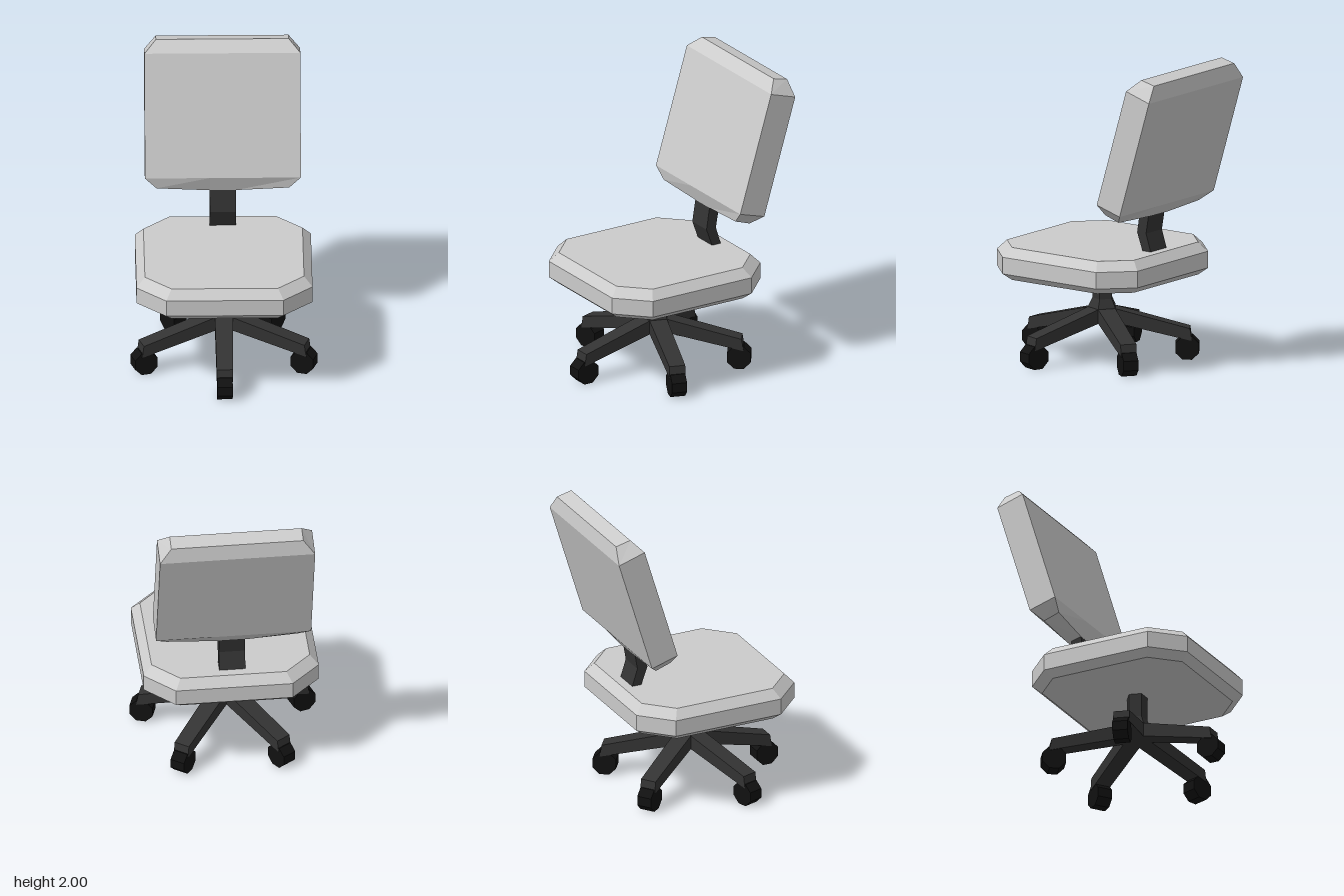
import * as THREE from 'three';

const fabric = new THREE.MeshStandardMaterial({ color: 0xcccccc, flatShading: true });
const plastic = new THREE.MeshStandardMaterial({ color: 0x333333, flatShading: true });
const rubber = new THREE.MeshStandardMaterial({ color: 0x111111, flatShading: true });

// Closed solid from stacked loops of [x, y, z], bottom to top, counter-clockwise from above
function loft(loops) {
  const pos = [];
  const quad = (a, b, c, d) => pos.push(...a, ...b, ...c, ...a, ...c, ...d);
  const n = loops[0].length;
  for (let k = 0; k < loops.length - 1; k++) {
    const lo = loops[k], hi = loops[k + 1];
    for (let i = 0; i < n; i++) {
      const j = (i + 1) % n;
      quad(lo[i], lo[j], hi[j], hi[i]);
    }
  }
  const bottom = loops[0], top = loops[loops.length - 1];
  for (let i = 0; i < Math.floor(n / 2); i++) {
    const p = n - 1 - i, q = Math.max(n - 2 - i, i + 1);
    quad(top[i], top[i + 1], top[q], top[p]);
    quad(bottom[p], bottom[q], bottom[i + 1], bottom[i]);
  }
  const geometry = new THREE.BufferGeometry();
  geometry.setAttribute('position', new THREE.Float32BufferAttribute(pos, 3));
  geometry.computeVertexNormals();
  return geometry;
}

function part(name, geometry, material) {
  const mesh = new THREE.Mesh(geometry, material);
  mesh.name = name;
  return mesh;
}

// Octagonal cushion outline: half size h, flat-edge half length f
const octagon = (y, h, f) =>
  [[-f, h], [f, h], [h, f], [h, -f], [f, -h], [-f, -h], [-h, -f], [-h, f]].map(([x, z]) => [x, y, z]);

// Pentagon with a flat face toward +z, one face per leg
const pentagon = (y, r) => Array.from({ length: 5 }, (_, i) => {
  const a = (i * 2 - 1) * Math.PI / 5;
  return [r * Math.sin(a), y, r * Math.cos(a)];
});

// Backrest section: [z, y] of front and back at the sides (w) and in the middle (m)
function backLoop(w, front, back, midFront = front, midBack = back) {
  const m = 0.085, at = (x, [z, y]) => [x, y, z];
  return [at(-w, front), at(-m, midFront), at(m, midFront), at(w, front),
    at(w, back), at(m, midBack), at(-m, midBack), at(-w, back)];
}

export function createModel() {
  const chair = new THREE.Group();
  chair.name = 'officeChair';

  // Seat cushion with bevelled rims
  const seat = part('seat', loft([
    octagon(0.56, 0.515, 0.345), octagon(0.605, 0.57, 0.38),
    octagon(0.715, 0.57, 0.38), octagon(0.775, 0.515, 0.345),
  ]), fabric);
  seat.position.z = 0.07;
  chair.add(seat);

  // Tilted backrest
  chair.add(part('backrest', loft([
    backLoop(0.43, [-0.277, 1.067], [-0.385, 1.03], [-0.298, 1.04], [-0.395, 1.017]),
    backLoop(0.505, [-0.265, 1.145], [-0.45, 1.09]),
    backLoop(0.505, [-0.503, 1.93], [-0.688, 1.872]),
    backLoop(0.43, [-0.57, 2.0], [-0.673, 1.975]),
  ]), fabric));

  // Kinked support between seat and backrest
  const w = 0.085;
  const supportPath = [[0.70, -0.345, -0.408], [0.893, -0.275, -0.347], [1.05, -0.3, -0.374]];
  chair.add(part('backSupport', loft(supportPath.map(([y, front, back]) =>
    [[-w, y, front], [w, y, front], [w, y, back], [-w, y, back]])), plastic));

  // Swivel base: column flaring into a hub, five legs with casters
  const base = new THREE.Group();
  base.name = 'base';
  base.position.z = 0.065;
  chair.add(base);
  base.add(part('column', loft([
    pentagon(0.245, 0.098), pentagon(0.343, 0.098), pentagon(0.4, 0.07), pentagon(0.58, 0.07),
  ]), plastic));

  const legGeometry = loft([
    [[-0.053, 0.125, 0.575], [0.053, 0.125, 0.575], [0.058, 0.247, 0.07], [-0.058, 0.247, 0.07]],
    [[-0.053, 0.207, 0.563], [0.053, 0.207, 0.563], [0.058, 0.341, 0.07], [-0.058, 0.341, 0.07]],
  ]);
  const wheelGeometry = new THREE.CylinderGeometry(0.083, 0.083, 0.1, 8)
    .rotateY(Math.PI / 8).rotateZ(Math.PI / 2).translate(0, 0.0767, 0.545);
  for (let i = 0; i < 5; i++) {
    const arm = new THREE.Group();
    arm.name = 'legWithCaster' + (i + 1);
    arm.rotation.y = i * Math.PI * 2 / 5;
    arm.add(part('leg', legGeometry, plastic), part('casterWheel', wheelGeometry, rubber));
    base.add(arm);
  }
  return chair;
}
